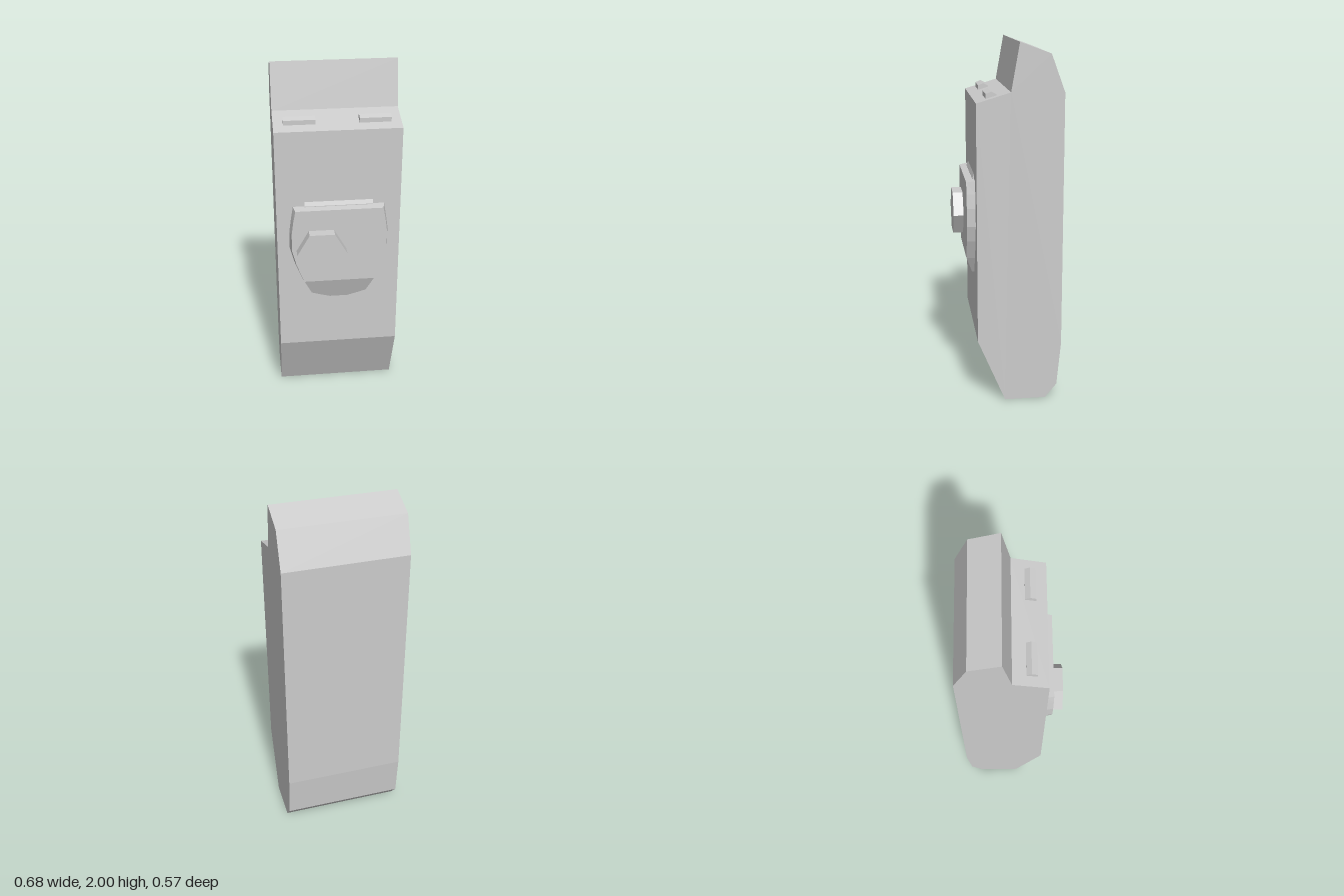
import * as THREE from 'three';

const grey = new THREE.MeshStandardMaterial({ color: 0xcccccc, flatShading: true });

function addMesh(parent, name, geometry) {
  const mesh = new THREE.Mesh(geometry, grey);
  mesh.name = name;
  parent.add(mesh);
  return mesh;
}

// Side profile of [z, y] points, extruded across x and centred on x = 0
function sideExtrude(profile, width) {
  const shape = new THREE.Shape(profile.map(([z, y]) => new THREE.Vector2(z, y)));
  const geometry = new THREE.ExtrudeGeometry(shape, { depth: width, bevelEnabled: false });
  return geometry.translate(0, 0, -width / 2).rotateY(-Math.PI / 2);
}

// Shield plate: rows of [y, half width] from top to bottom, rim inset at the front
function plateGeometry(rows, back, front, bendY) {
  const positions = [], index = [];
  const last = rows.length - 1;
  const bottomY = rows[last][0];
  rows.forEach(([y, half], i) => {
    const z = y >= bendY ? front : THREE.MathUtils.lerp(back, front, (y - bottomY) / (bendY - bottomY));
    const inset = 0.01 * (z - back) / (front - back);
    const frontY = i === 0 ? y - 0.008 : y;
    // back left, front left, front right, back right
    positions.push(-half, y, back, -half + inset, frontY, z, half - inset, frontY, z, half, y, back);
  });
  for (let i = 0; i < last; i++) {
    for (let k = 0; k < 3; k++) {
      const a = i * 4 + k, b = a + 4;
      index.push(a, b, b + 1, a, b + 1, a + 1);
    }
  }
  index.push(0, 1, 2, 0, 2, 3); // top edge
  const geometry = new THREE.BufferGeometry();
  geometry.setAttribute('position', new THREE.Float32BufferAttribute(positions, 3));
  geometry.setIndex(index);
  const flat = geometry.toNonIndexed();
  flat.computeVertexNormals();
  return flat;
}

export function createModel() {
  const model = new THREE.Group();
  model.name = 'casing';

  // Main body with chamfered ends and a stepped top
  addMesh(model, 'body', sideExtrude([
    [0.03, 0], [0.183, 0.365], [0.183, 1.69], [0, 1.745], [-0.045, 2],
    [-0.21, 1.94], [-0.284, 1.74], [-0.288, 0.33], [-0.265, 0.08], [-0.2, 0],
  ], 0.682));

  // Pair of small lugs on the sloping ledge
  for (const side of [-1, 1]) {
    const lug = addMesh(model, side > 0 ? 'leftLug' : 'rightLug', sideExtrude([
      [0.07, 1.715], [0.127, 1.7], [0.127, 1.732], [0.097, 1.744], [0.07, 1.73],
    ], 0.17));
    lug.position.x = side * 0.202;
  }

  // Shield-shaped plate, bent back at its lower end
  addMesh(model, 'shieldPlate', plateGeometry([
    [1.26, 0.25], [1.19, 0.262], [1.11, 0.273], [1.01, 0.273], [0.92, 0.25],
    [0.81, 0.207], [0.715, 0.158], [0.69, 0.09], [0.677, 0.05],
  ], 0.183, 0.23, 0.81));

  // Thin sloping strip above the plate
  addMesh(model, 'plateStrip', sideExtrude([
    [0.178, 1.25], [0.192, 1.25], [0.192, 1.262], [0.183, 1.285], [0.178, 1.285],
  ], 0.374));

  // Hexagonal boss, set off-centre on the plate
  const hexagon = new THREE.CylinderGeometry(0.138, 0.138, 0.06, 6).rotateY(Math.PI / 2).rotateX(Math.PI / 2);
  addMesh(model, 'hexBoss', hexagon).position.set(-0.1, 1.012, 0.257);

  return model;
}
